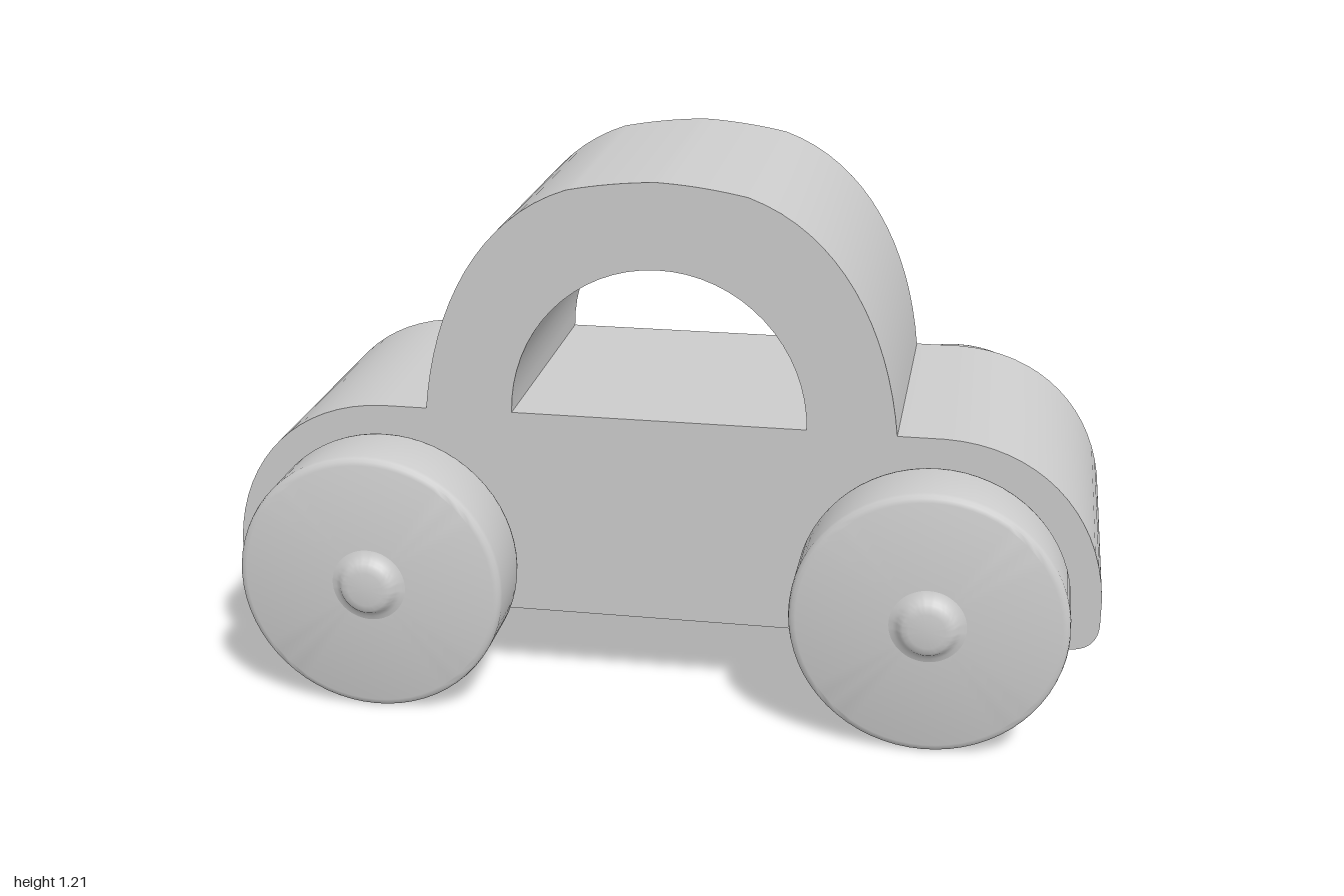
import * as THREE from 'three';
import { toCreasedNormals } from 'three/addons/utils/BufferGeometryUtils.js';

const grey = new THREE.MeshStandardMaterial({ color: 0xcccccc });
grey.name = 'grey';

// Side outline of the car with a half-round window through it
function bodyGeometry() {
  const s = new THREE.Shape();
  s.moveTo(-0.93, 0.18);
  s.lineTo(0.93, 0.18);
  s.quadraticCurveTo(1, 0.18, 1, 0.25);
  s.lineTo(1, 0.31);
  s.bezierCurveTo(0.985, 0.52, 0.84, 0.66, 0.64, 0.665);
  s.lineTo(0.535, 0.665);
  s.bezierCurveTo(0.51, 0.91, 0.4, 1.12, 0.2, 1.188);
  s.quadraticCurveTo(0.1, 1.209, 0, 1.213);
  s.quadraticCurveTo(-0.1, 1.209, -0.2, 1.188);
  s.bezierCurveTo(-0.4, 1.12, -0.51, 0.91, -0.535, 0.665);
  s.lineTo(-0.64, 0.665);
  s.bezierCurveTo(-0.84, 0.66, -0.985, 0.52, -1, 0.31);
  s.lineTo(-1, 0.25);
  s.quadraticCurveTo(-1, 0.18, -0.93, 0.18);

  const win = new THREE.Path();
  win.moveTo(0.335, 0.667);
  win.absellipse(0, 0.667, 0.335, 0.35, 0, Math.PI, false);
  win.lineTo(0.335, 0.667);
  s.holes.push(win);

  const g = new THREE.ExtrudeGeometry(s, { depth: 0.66, bevelEnabled: false, curveSegments: 16 });
  g.translate(0, 0, -0.33);
  return toCreasedNormals(g, 0.6);
}

// Turned part whose profile [radius, z] runs outwards along +z
function turned(profile) {
  const g = new THREE.LatheGeometry(profile.map(([r, z]) => new THREE.Vector2(r, z)), 64);
  g.rotateX(Math.PI / 2);
  return toCreasedNormals(g, 0.7);
}

function mesh(name, geometry) {
  const m = new THREE.Mesh(geometry, grey);
  m.name = name;
  return m;
}

export function createModel() {
  const car = new THREE.Group();
  car.name = 'toyCar';
  car.add(mesh('body', bodyGeometry()));

  // Wheel disc with softened rims
  const disc = turned([
    [0, 0.352], [0.288, 0.352], [0.297, 0.355], [0.303, 0.361], [0.305, 0.37],
    [0.305, 0.508], [0.303, 0.517], [0.297, 0.523], [0.288, 0.526], [0, 0.526],
  ]);
  // Domed hub with a flared foot
  const hub = turned([
    [0.088, 0.525], [0.075, 0.529], [0.066, 0.536], [0.06, 0.545],
    [0.053, 0.55], [0.04, 0.553], [0, 0.553],
  ]);

  for (const x of [-0.627, 0.627]) {
    for (const side of [1, -1]) {
      const wheel = new THREE.Group();
      wheel.name = (side > 0 ? 'front' : 'back') + (x > 0 ? 'LeftWheel' : 'RightWheel');
      wheel.add(mesh('wheelDisc', disc), mesh('wheelHub', hub));
      wheel.position.set(x, 0.305, 0);
      if (side < 0) wheel.rotation.y = Math.PI;
      car.add(wheel);
    }
  }
  return car;
}
